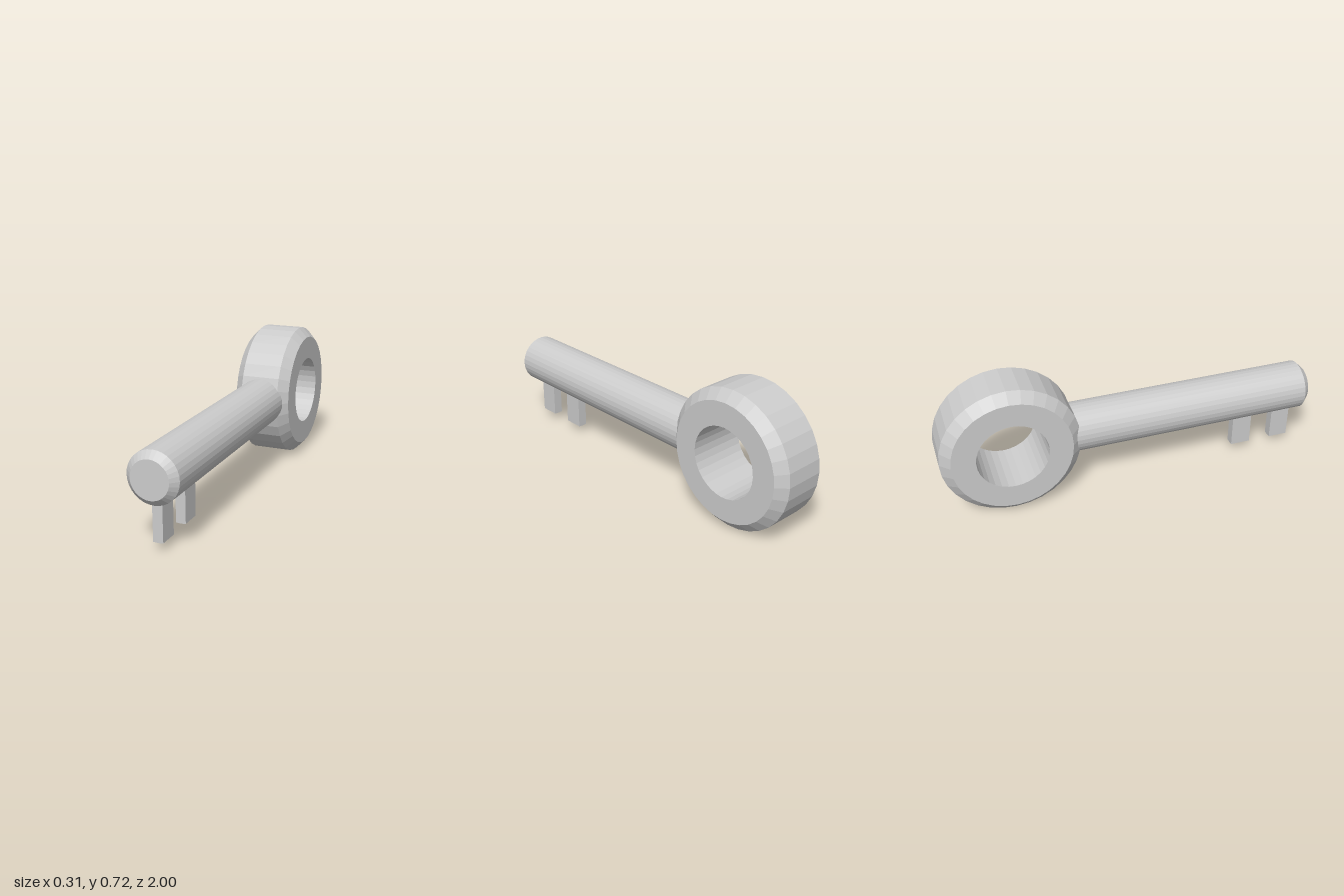
import * as THREE from 'three';

const AXIS_Y = 0.359;
const SIDES = 32;

export function createModel() {
  const group = new THREE.Group();
  const material = new THREE.MeshStandardMaterial({ color: 0xcccccc, flatShading: true });

  const add = (name, geometry) => {
    const mesh = new THREE.Mesh(geometry, material);
    mesh.name = name;
    group.add(mesh);
    return mesh;
  };
  const lathe = (profile) =>
    new THREE.LatheGeometry(profile.map(([r, h]) => new THREE.Vector2(r, h)), SIDES);

  // Ring handle with bevelled rims, its hole running along x
  const ring = add('ringHandle', lathe([
    [0.184, -0.153], [0.308, -0.153], [0.359, -0.104],
    [0.359, 0.104], [0.308, 0.153], [0.184, 0.153], [0.184, -0.153],
  ]));
  ring.rotation.z = Math.PI / 2;
  ring.position.set(0, AXIS_Y, -0.641);

  // Round shaft with a bevelled tip, its rear end buried in the ring
  const shaft = add('shaft', lathe([
    [0, -0.39], [0.128, -0.39], [0.128, 0.966], [0.094, 1], [0, 1],
  ]));
  shaft.rotation.x = Math.PI / 2;
  shaft.position.y = AXIS_Y;

  // Teeth below the shaft, with slightly rounded ends
  const tooth = new THREE.Shape();
  tooth.moveTo(0.025, 0.3);
  tooth.lineTo(-0.025, 0.3);
  tooth.lineTo(-0.025, 0.044);
  tooth.lineTo(0, 0.042);
  tooth.lineTo(0.025, 0.044);
  [['frontTooth', 0.831, 0.935], ['rearTooth', 0.6, 0.708]].forEach(([name, back, front]) => {
    add(name, new THREE.ExtrudeGeometry(tooth, { depth: front - back, bevelEnabled: false }))
      .position.z = back;
  });

  return group;
}
